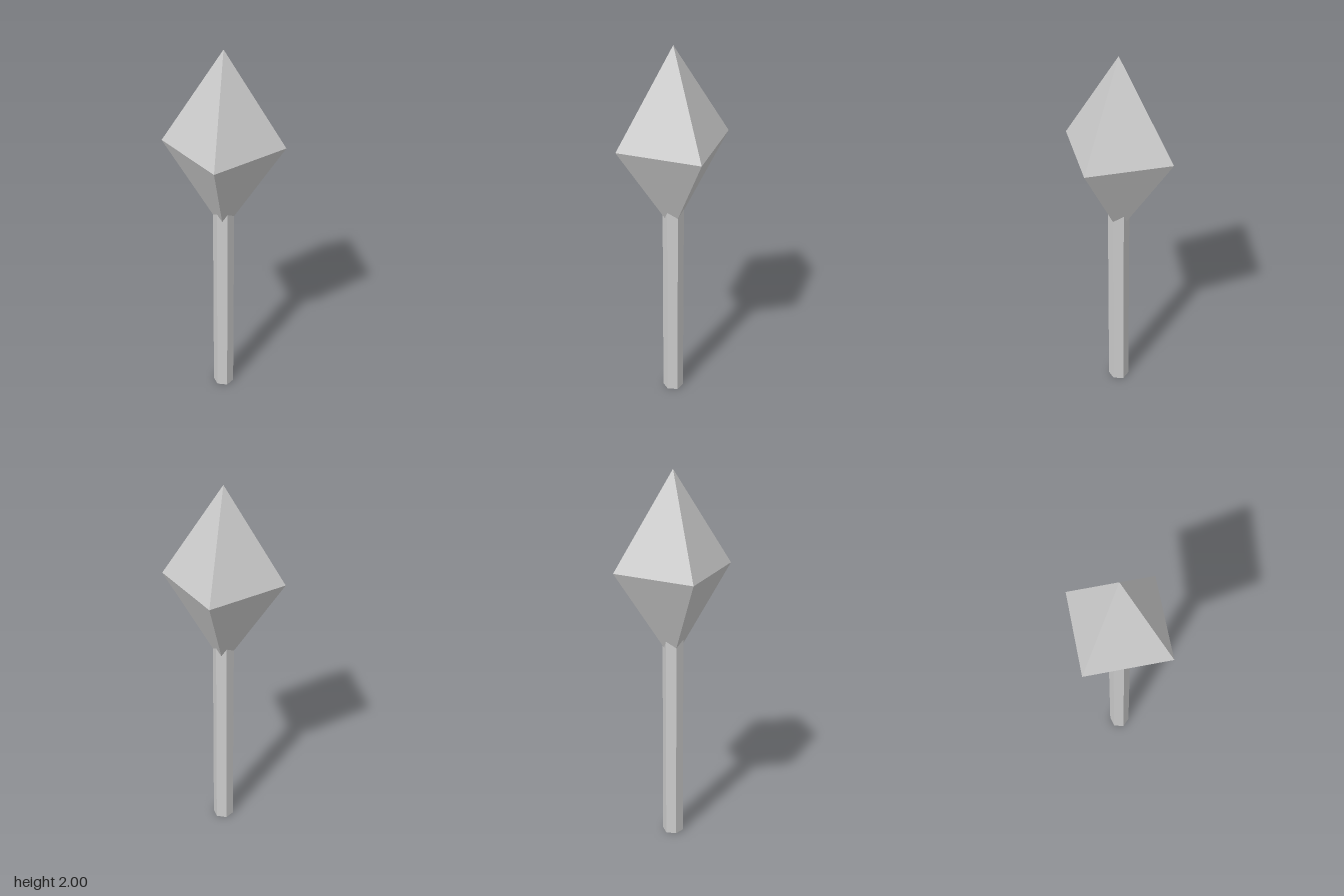
import * as THREE from 'three';

export function createModel() {
  const group = new THREE.Group();
  const grey = new THREE.MeshStandardMaterial({ color: 0xcccccc, flatShading: true });
  grey.name = 'light grey';

  // Hexagonal stem with corners on the x axis; its top is buried in the head
  const stemGeometry = new THREE.CylinderGeometry(0.055, 0.055, 1.15, 6);
  stemGeometry.rotateY(Math.PI / 6);
  stemGeometry.translate(0, 0.575, 0);
  const stem = new THREE.Mesh(stemGeometry, grey);
  stem.name = 'stem';

  // Tall eight-sided diamond head
  const headGeometry = new THREE.OctahedronGeometry(1, 0);
  headGeometry.scale(0.311, 0.5, 0.311);
  headGeometry.translate(0, 1.5, 0);
  headGeometry.computeVertexNormals();
  const head = new THREE.Mesh(headGeometry, grey);
  head.name = 'diamondHead';

  group.add(stem, head);
  return group;
}
